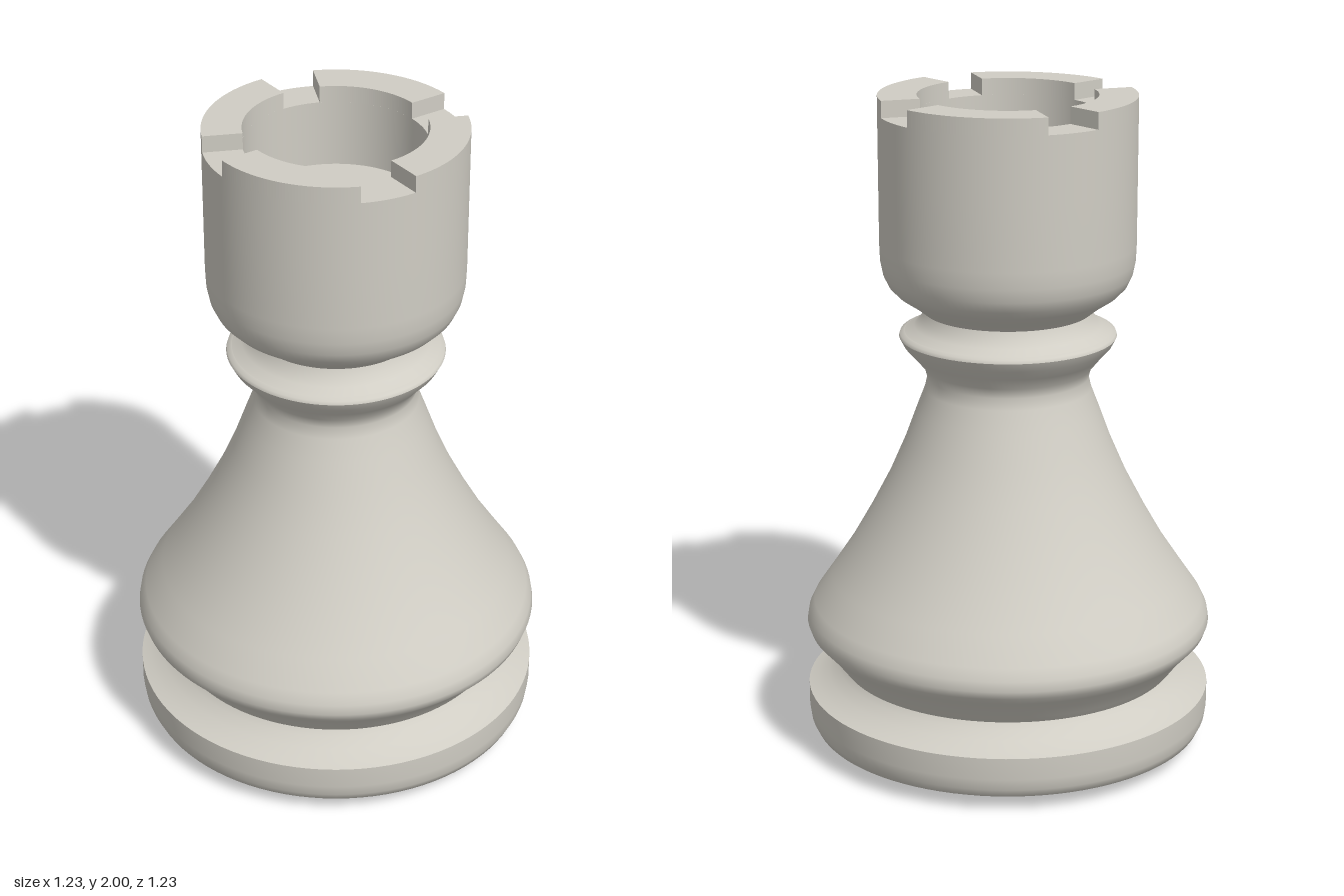
import * as THREE from 'three';

const SEGMENTS = 96;

export function createModel() {
  const model = new THREE.Group();
  model.name = 'castlePiece';
  const stone = new THREE.MeshStandardMaterial({ color: 0xd0cdc4 });
  stone.name = 'pale stone';

  function add(name, geometry) {
    const mesh = new THREE.Mesh(geometry, stone);
    mesh.name = name;
    model.add(mesh);
    return mesh;
  }

  // Each turned section is smooth inside; creases fall between sections
  function turned(name, profile) {
    const points = profile.map(([r, y]) => new THREE.Vector2(r, y));
    return add(name, new THREE.LatheGeometry(points, SEGMENTS));
  }

  // Foot, with a slightly pointed underside
  turned('underside', [[0, 0], [0.02, 0.016], [0.3, 0.03], [0.58, 0.04]]);
  turned('footRim', [[0.58, 0.04], [0.6, 0.05], [0.612, 0.075], [0.617, 0.11], [0.617, 0.177]]);
  turned('footShoulder', [[0.617, 0.177], [0.59, 0.187], [0.555, 0.205], [0.525, 0.228], [0.512, 0.245]]);

  // Flared body rising to the neck
  turned('body', [
    [0.512, 0.245], [0.53, 0.268], [0.555, 0.302], [0.585, 0.335], [0.608, 0.36], [0.617, 0.385],
    [0.612, 0.415], [0.595, 0.45], [0.54, 0.53], [0.48, 0.62], [0.42, 0.725], [0.36, 0.84],
    [0.31, 0.955], [0.275, 1.05], [0.25, 1.115], [0.242, 1.15], [0.25, 1.18], [0.28, 1.217],
    [0.31, 1.25], [0.325, 1.278],
  ]);

  // Collar
  turned('collarEdge', [[0.325, 1.278], [0.322, 1.288], [0.308, 1.294]]);
  turned('collarTop', [[0.308, 1.294], [0.28, 1.31], [0.26, 1.33], [0.25, 1.354]]);

  // Tower head with a hollow top
  turned('tower', [
    [0.25, 1.354], [0.285, 1.382], [0.33, 1.412], [0.355, 1.438], [0.37, 1.47],
    [0.378, 1.51], [0.38, 1.56], [0.38, 1.75], [0.38, 1.95],
  ]);
  turned('towerRim', [[0.38, 1.95], [0.265, 1.95]]);
  turned('wellWall', [[0.265, 1.95], [0.265, 1.75]]);
  turned('wellFloor', [[0.265, 1.75], [0, 1.75]]);

  // Four battlements with narrow gaps between them
  const start = THREE.MathUtils.degToRad(31);
  const end = THREE.MathUtils.degToRad(96.5);
  const block = new THREE.Shape();
  block.absarc(0, 0, 0.38, start, end, false);
  block.absarc(0, 0, 0.265, end, start, true);
  const geometry = new THREE.ExtrudeGeometry(block, { depth: 0.05, bevelEnabled: false, curveSegments: 24 });
  geometry.rotateX(Math.PI / 2).translate(0, 2, 0);
  for (let i = 0; i < 4; i++) {
    add('battlement', geometry).rotation.y = (i * Math.PI) / 2;
  }

  return model;
}
